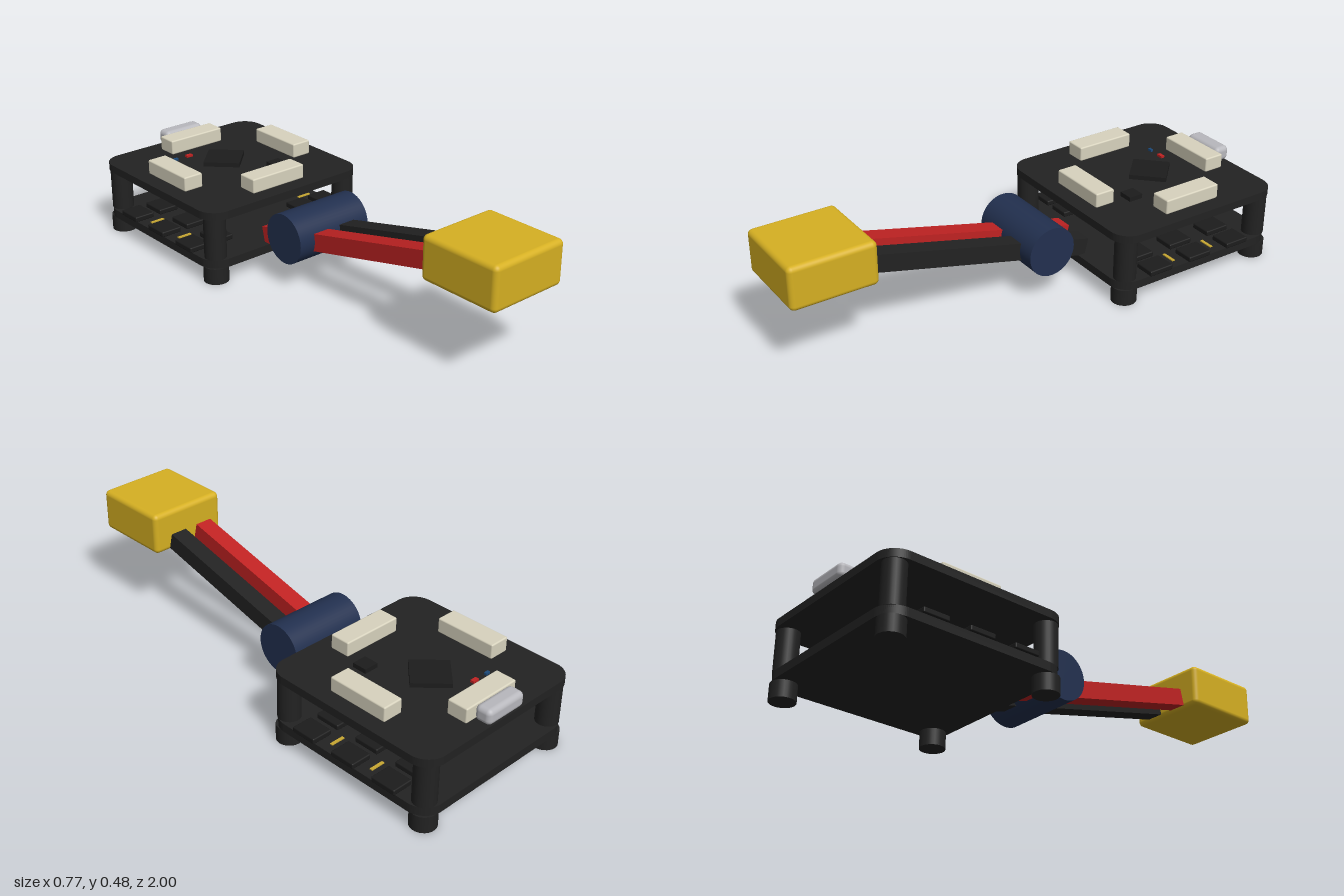
import * as THREE from 'three';
import { RoundedBoxGeometry } from 'three/addons/geometries/RoundedBoxGeometry.js';

const mat = (name, color) => {
  const m = new THREE.MeshStandardMaterial({ color });
  m.name = name;
  return m;
};

export function createModel() {
  const board = mat('board black', 0x222222);
  const chipBlack = mat('chip black', 0x1c1c1c);
  const cream = mat('connector cream', 0xd8d3be);
  const steel = mat('port grey', 0xb8b8bd);
  const yellow = mat('plug yellow', 0xd6b022);
  const navy = mat('capacitor navy', 0x22304f);
  const red = mat('wire red', 0xc02222);
  const blue = mat('light blue', 0x1c4a7a);
  const gold = mat('pad gold', 0xc8a832);

  const model = new THREE.Group();
  const add = (parent, name, geo, material, x, y, z) => {
    const mesh = new THREE.Mesh(geo, material);
    mesh.name = name;
    mesh.position.set(x, y, z);
    parent.add(mesh);
    return mesh;
  };
  const box = (w, h, d) => new THREE.BoxGeometry(w, h, d);

  // Circuit stack, centred on its own origin in x and z
  const stack = new THREE.Group();
  stack.name = 'circuitStack';
  stack.position.z = -0.614;
  model.add(stack);

  // Flat plate with rounded corners
  const plate = (half, r, thickness) => {
    const s = new THREE.Shape();
    const c = half - r;
    s.absarc(c, c, r, 0, Math.PI / 2);
    s.absarc(-c, c, r, Math.PI / 2, Math.PI);
    s.absarc(-c, -c, r, Math.PI, Math.PI * 1.5);
    s.absarc(c, -c, r, Math.PI * 1.5, Math.PI * 2);
    s.closePath();
    return new THREE.ExtrudeGeometry(s, { depth: thickness, bevelEnabled: false, curveSegments: 10 })
      .rotateX(-Math.PI / 2);
  };
  add(stack, 'lowerBoard', plate(0.377, 0.08, 0.034), board, 0, 0.066, 0);
  add(stack, 'upperBoard', plate(0.381, 0.08, 0.032), board, 0, 0.27, 0);

  // Feet and posts at the corners
  const foot = new THREE.CylinderGeometry(0.05, 0.05, 0.066, 28);
  const post = new THREE.CylinderGeometry(0.044, 0.044, 0.17, 28);
  for (const x of [-0.325, 0.325]) {
    for (const z of [-0.325, 0.325]) {
      add(stack, 'foot', foot, board, x, 0.033, z);
      add(stack, 'post', post, board, x, 0.185, z);
    }
  }

  // Transistors and gold pads on the lower board
  const transistor = new RoundedBoxGeometry(0.088, 0.022, 0.106, 2, 0.005);
  for (const side of [-1, 1]) {
    for (const z of [-0.191, 0, 0.191]) {
      for (const x of [0.223, 0.341]) add(stack, 'transistor', transistor, chipBlack, side * x, 0.111, z);
    }
    for (const z of [-0.096, 0.096]) {
      add(stack, 'goldPad', box(0.06, 0.004, 0.012), gold, side * 0.31, 0.102, z);
    }
  }

  // Connectors on the four sides of the upper board
  const connector = new RoundedBoxGeometry(0.254, 0.06, 0.085, 2, 0.006);
  for (let i = 0; i < 4; i++) {
    const a = i * Math.PI / 2;
    add(stack, 'connector', connector, cream, Math.sin(a) * 0.275, 0.332, Math.cos(a) * 0.275)
      .rotation.y = a;
  }

  // Port, chips and status lights
  add(stack, 'port', new RoundedBoxGeometry(0.184, 0.062, 0.068, 4, 0.02), steel, 0, 0.336, -0.352);
  add(stack, 'mainChip', box(0.148, 0.018, 0.148), chipBlack, 0, 0.311, -0.045).rotation.y = Math.PI / 4;
  add(stack, 'sensorChip', box(0.06, 0.018, 0.06), chipBlack, 0.126, 0.311, 0.147);
  add(stack, 'redLight', box(0.028, 0.009, 0.016), red, -0.086, 0.3065, -0.174);
  add(stack, 'blueLight', box(0.02, 0.009, 0.012), blue, -0.152, 0.3065, -0.174);

  // Capacitor lying across the wires
  add(model, 'capacitor', new THREE.CylinderGeometry(0.1, 0.1, 0.338, 48).rotateZ(Math.PI / 2),
    navy, 0, 0.205, -0.062);

  // Power wires rising to the plug
  const wire = box(0.072, 0.07, 0.955);
  add(model, 'redWire', wire, red, -0.064, 0.241, 0.189).rotation.x = -0.241;
  add(model, 'blackWire', wire, board, 0.064, 0.241, 0.189).rotation.x = -0.241;
  add(model, 'plug', new RoundedBoxGeometry(0.334, 0.172, 0.338, 4, 0.02), yellow, 0, 0.396, 0.831);

  return model;
}
